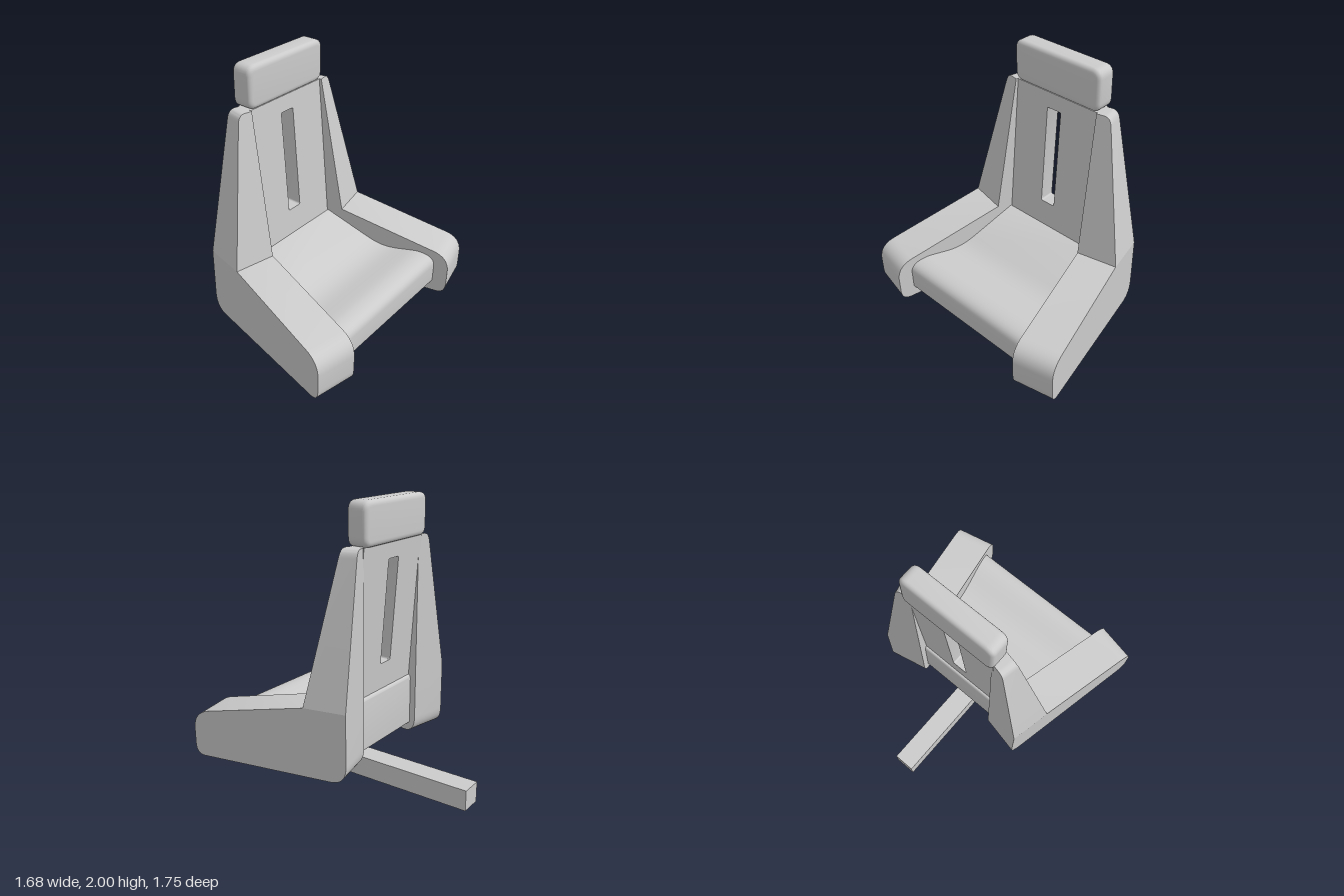
import * as THREE from 'three';
import { toCreasedNormals } from 'three/addons/utils/BufferGeometryUtils.js';

const grey = new THREE.MeshStandardMaterial({ color: 0xcccccc });

function part(name, geometry) {
  const mesh = new THREE.Mesh(toCreasedNormals(geometry, 0.5), grey);
  mesh.name = name;
  return mesh;
}

// Moves every vertex by a rule
function warp(geometry, rule) {
  const p = geometry.attributes.position;
  const v = new THREE.Vector3();
  for (let i = 0; i < p.count; i++) {
    v.fromBufferAttribute(p, i);
    rule(v);
    p.setXYZ(i, v.x, v.y, v.z);
  }
  return geometry;
}

function extrude(shape, depth, options = {}) {
  return new THREE.ExtrudeGeometry(shape, { depth, bevelEnabled: false, curveSegments: 8, ...options });
}

// Side profile drawn as (z, y), extruded across x and centred
function sideExtrude(shape, width) {
  return extrude(shape, width).rotateY(-Math.PI / 2).translate(width / 2, 0, 0);
}

function roundedRect(x0, y0, x1, y1, r, Type = THREE.Shape) {
  const s = new Type();
  s.moveTo(x0 + r, y0);
  s.lineTo(x1 - r, y0).quadraticCurveTo(x1, y0, x1, y0 + r);
  s.lineTo(x1, y1 - r).quadraticCurveTo(x1, y1, x1 - r, y1);
  s.lineTo(x0 + r, y1).quadraticCurveTo(x0, y1, x0, y1 - r);
  s.lineTo(x0, y0 + r).quadraticCurveTo(x0, y0, x0 + r, y0);
  return s;
}

// One splayed side bolster; origin at its inner back corner
function sideBolster(side) {
  const width = 0.287, crease = 0.725, top = 1.715;
  const group = new THREE.Group();

  // Thigh support
  const leg = new THREE.Shape();
  leg.moveTo(0.11, 0.245);
  leg.lineTo(1.065, 0.245).quadraticCurveTo(1.136, 0.245, 1.136, 0.33);
  leg.lineTo(1.136, 0.45).quadraticCurveTo(1.13, 0.56, 1.02, 0.582);
  leg.lineTo(0.297, crease).lineTo(0, crease).lineTo(0, 0.37);
  leg.quadraticCurveTo(0, 0.245, 0.11, 0.245);
  group.add(part('thighBolster', sideExtrude(leg, width).translate(side * width / 2, 0, 0)));

  // Back wing, narrowing upward in width and depth
  const wing = new THREE.Shape();
  wing.moveTo(0, crease);
  wing.lineTo(side * width, crease).lineTo(side * 0.108, 1.66);
  wing.quadraticCurveTo(side * 0.097, top, side * 0.055, top);
  wing.lineTo(0, top).lineTo(0, crease);
  const geometry = warp(extrude(wing, 1), (v) => {
    v.z *= THREE.MathUtils.mapLinear(v.y, crease, top, 0.297, 0.113);
  });
  group.add(part('backBolster', geometry));

  group.position.set(side * 0.32, 0, -0.24);
  group.rotation.y = side * 0.212;
  group.name = side > 0 ? 'leftBolster' : 'rightBolster';
  return group;
}

export function createModel() {
  const model = new THREE.Group();
  model.name = 'seat';

  for (const side of [1, -1]) model.add(sideBolster(side));

  // Seat cushion, widening forward between the bolsters
  const cushion = new THREE.Shape();
  cushion.moveTo(-0.17, 0.31);
  cushion.lineTo(0.74, 0.31).quadraticCurveTo(0.77, 0.31, 0.77, 0.345);
  cushion.lineTo(0.77, 0.46).quadraticCurveTo(0.77, 0.545, 0.64, 0.545);
  cushion.bezierCurveTo(0.5, 0.53, 0.42, 0.48, 0.27, 0.545);
  cushion.lineTo(-0.06, 0.69).lineTo(-0.16, 0.69);
  cushion.quadraticCurveTo(-0.19, 0.69, -0.19, 0.66);
  cushion.lineTo(-0.19, 0.33).quadraticCurveTo(-0.19, 0.31, -0.17, 0.31);
  model.add(part('seatCushion', warp(sideExtrude(cushion, 2), (v) => {
    v.x *= 0.562 - 0.216 * (0.87 - v.z);
  })));

  // Leaning backrest with a tall slot
  const back = new THREE.Shape();
  back.moveTo(-0.352, 0.685);
  back.lineTo(0.352, 0.685).lineTo(0.338, 1.715).lineTo(-0.338, 1.715).lineTo(-0.352, 0.685);
  back.holes.push(roundedRect(-0.065, 0.88, 0.05, 1.605, 0.012, THREE.Path));
  model.add(part('backrest', warp(extrude(back, 0.11), (v) => {
    v.z += -0.17 - 0.08 * (v.y - 0.685);
  })));

  // Headrest with soft edges
  const pad = extrude(roundedRect(-0.355, 1.712, 0.355, 2, 0.065), 0.09, {
    bevelEnabled: true, bevelSize: 0.035, bevelOffset: -0.035, bevelThickness: 0.03, bevelSegments: 5,
  }).translate(0, 0, -0.25);
  model.add(part('headrest', pad));

  // L-shaped mounting bar
  const bar = new THREE.Shape();
  bar.moveTo(0.19, 0);
  bar.lineTo(0.19, 0.33).lineTo(0.045, 0.33).lineTo(0.045, 0.152);
  bar.lineTo(-0.875, 0.147).lineTo(-0.875, 0).lineTo(0.19, 0);
  model.add(part('mountingBar', sideExtrude(bar, 0.155).translate(-0.0125, 0, 0)));

  return model;
}
